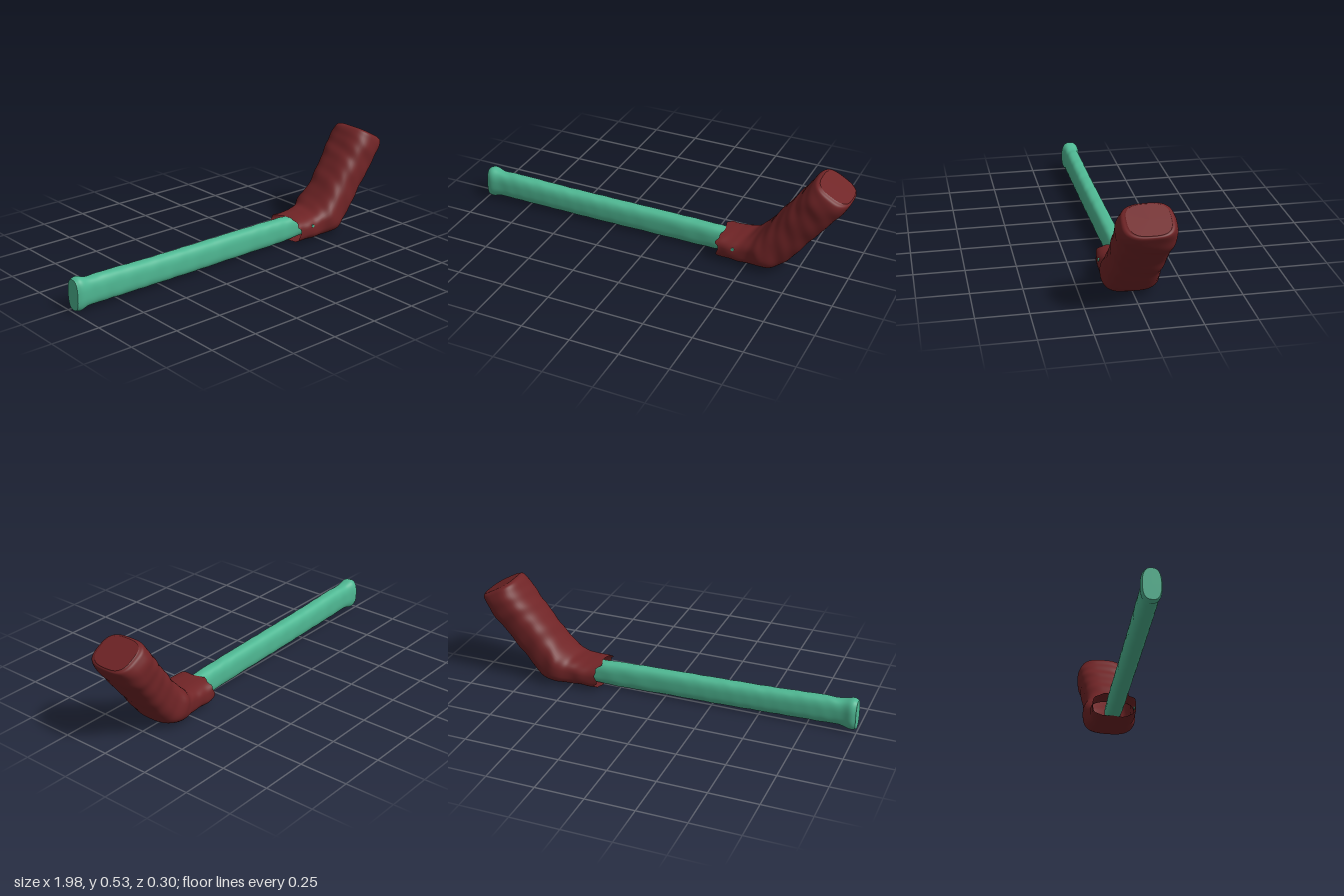
import * as THREE from 'three';

const SIDES = 48;
const power = (v, n) => Math.sign(v) * Math.abs(v) ** (2 / n);

// Sweeps a rounded-box section. Each row: bottom x, y, top x, y, then z from, z to.
function loft(rows, { steps, exponent, wrinkle, ragged = 0, capStart, capEnd }) {
  const low = new THREE.CatmullRomCurve3(rows.map(r => new THREE.Vector3(r[0], r[1], r[4])), false, 'catmullrom');
  const high = new THREE.CatmullRomCurve3(rows.map(r => new THREE.Vector3(r[2], r[3], r[5])), false, 'catmullrom');
  const pos = [], index = [];
  for (let i = 0; i <= steps; i++) {
    const t = i / steps, b = low.getPoint(t), h = high.getPoint(t);
    const mid = b.clone().add(h).multiplyScalar(0.5);
    const half = h.clone().sub(b).multiplyScalar(0.5);
    const along = Math.hypot(mid.x, mid.y);
    for (let j = 0; j < SIDES; j++) {
      const a = (j / SIDES) * Math.PI * 2;
      const fold = 1 + wrinkle * (Math.sin(along * 47 + 2 * Math.sin(a * 2)) * 0.6
        + Math.sin(along * 83 + a * 3) * 0.4);
      const u = power(Math.cos(a), exponent) * fold;
      const w = power(Math.sin(a), exponent) * fold;
      const fray = i === 0 ? ragged * (Math.sin(a * 5) + Math.sin(a * 9 + 1)) : 0;
      pos.push(mid.x + half.x * u + fray, mid.y + half.y * u, mid.z + half.z * w);
    }
  }
  const quad = (i, j) => {
    const k = (j + 1) % SIDES;
    const p = i * SIDES + j, q = i * SIDES + k;
    index.push(p, q, p + SIDES, q, q + SIDES, p + SIDES);
  };
  for (let i = 0; i < steps; i++) for (let j = 0; j < SIDES; j++) quad(i, j);

  // End caps use their own ring so that the rim stays sharp
  const cap = (ring, flip) => {
    const start = pos.length / 3, c = new THREE.Vector3();
    for (let j = 0; j < SIDES; j++) {
      const p = new THREE.Vector3().fromArray(pos, (ring * SIDES + j) * 3);
      pos.push(p.x, p.y, p.z);
      c.addScaledVector(p, 1 / SIDES);
    }
    pos.push(c.x, c.y, c.z);
    for (let j = 0; j < SIDES; j++) {
      const p = start + j, q = start + (j + 1) % SIDES;
      index.push(start + SIDES, flip ? q : p, flip ? p : q);
    }
  };
  if (capStart) cap(0, true);
  if (capEnd) cap(steps, false);

  const geo = new THREE.BufferGeometry();
  geo.setAttribute('position', new THREE.Float32BufferAttribute(pos, 3));
  geo.setIndex(index);
  geo.computeVertexNormals();
  return geo;
}

export function createModel() {
  const model = new THREE.Group();
  const add = (name, geometry, color) => {
    const mesh = new THREE.Mesh(geometry, new THREE.MeshStandardMaterial({ color, side: THREE.DoubleSide }));
    mesh.name = name;
    model.add(mesh);
    return mesh;
  };

  // Flattened shaft, flared at the butt and tucked into the sleeve
  add('shaft', loft([
    [-0.993, 0.015, -0.993, 0.168, -0.005, 0.078],
    [-0.965, 0.012, -0.965, 0.176, -0.012, 0.085],
    [-0.91, 0.024, -0.91, 0.162, -0.004, 0.080],
    [-0.80, 0.022, -0.80, 0.162, -0.006, 0.079],
    [-0.55, 0.018, -0.55, 0.153, -0.011, 0.074],
    [-0.30, 0.014, -0.30, 0.149, -0.016, 0.069],
    [0.00, 0.012, 0.00, 0.145, -0.022, 0.062],
    [0.25, 0.009, 0.25, 0.140, -0.028, 0.057],
    [0.37, 0.013, 0.37, 0.134, -0.030, 0.054],
    [0.48, 0.022, 0.48, 0.125, -0.030, 0.052],
  ], { steps: 120, exponent: 2.7, wrinkle: 0.018, capStart: true, capEnd: true }), 0x4fb893);

  // Cloth-like head: open sleeve, bend and raised blunt end
  add('head', loft([
    [0.353, 0.011, 0.353, 0.138, -0.104, 0.128],
    [0.44, 0.009, 0.44, 0.141, -0.104, 0.130],
    [0.53, 0.008, 0.505, 0.155, -0.112, 0.132],
    [0.62, 0.013, 0.555, 0.195, -0.136, 0.146],
    [0.69, 0.048, 0.60, 0.250, -0.122, 0.135],
    [0.745, 0.112, 0.645, 0.312, -0.122, 0.130],
    [0.85, 0.248, 0.72, 0.412, -0.135, 0.126],
    [0.935, 0.355, 0.775, 0.488, -0.148, 0.126],
    [0.985, 0.430, 0.808, 0.533, -0.134, 0.114],
    [0.985, 0.452, 0.830, 0.540, -0.112, 0.090],
  ], { steps: 110, exponent: 2.8, wrinkle: 0.02, ragged: 0.006, capEnd: true }), 0x702426);

  // Small pin on the front of the sleeve
  const pin = add('sleevePin', new THREE.CylinderGeometry(0.008, 0.008, 0.008, 16), 0x4fb893);
  pin.rotation.x = Math.PI / 2;
  pin.position.set(0.44, 0.098, 0.127);

  return model;
}
